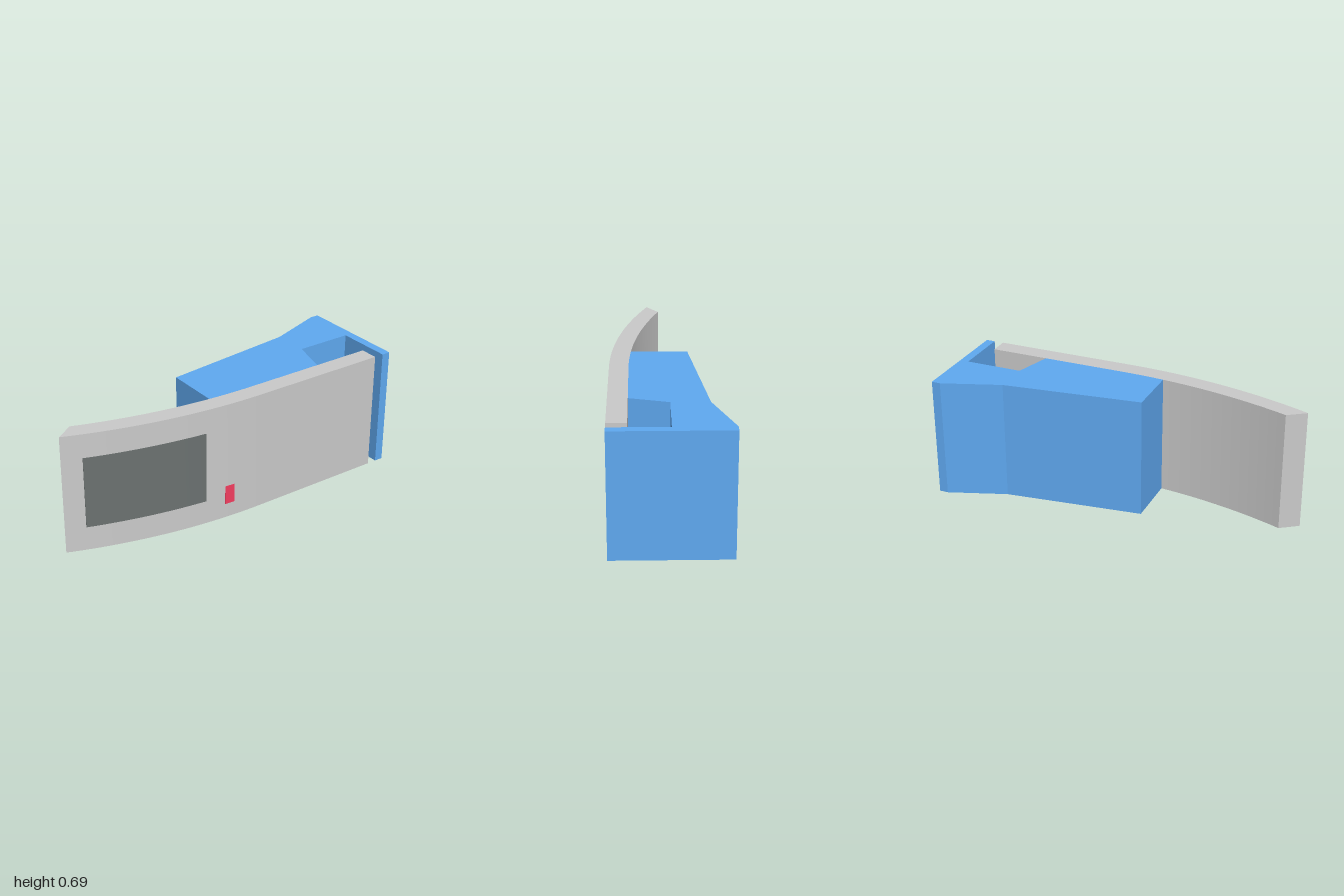
import * as THREE from 'three';
import { toCreasedNormals } from 'three/addons/utils/BufferGeometryUtils.js';

const H = 0.685;           // overall height
const R = 3.03, Z0 = -0.1; // bend of the front plate and where it starts
const OUTER = 0.317, INNER = 0.212;

// Points [x, z] along a plate face that is flat at x and bends in beyond Z0
function bend(x, zStart, zEnd, steps) {
  const a0 = Math.asin((zStart - Z0) / R), a1 = Math.asin((zEnd - Z0) / R);
  return Array.from({ length: steps + 1 }, (_, i) => {
    const a = a0 + (a1 - a0) * i / steps;
    return [x - R + R * Math.cos(a), Z0 + R * Math.sin(a)];
  });
}

// Plan outline [x, z] raised from y0 to y1
function prism(name, outline, y0, y1, color) {
  const shape = new THREE.Shape(outline.map(([x, z]) => new THREE.Vector2(x, z)));
  let geo = new THREE.ExtrudeGeometry(shape, { depth: y1 - y0, bevelEnabled: false });
  geo.rotateX(Math.PI / 2).translate(0, y1, 0);
  geo = toCreasedNormals(geo, 0.1);
  const mesh = new THREE.Mesh(geo, new THREE.MeshStandardMaterial({ color }));
  mesh.name = name;
  return mesh;
}

// Thin inlay following the outer face of the plate
function inlay(name, z0, z1, y0, y1, color, steps) {
  const face = bend(OUTER + 0.0015, z0, z1, steps);
  const back = bend(OUTER - 0.004, z0, z1, steps).reverse();
  return prism(name, [...face, ...back], y0, y1, color);
}

export function createModel() {
  const group = new THREE.Group();
  group.name = 'curvedPanelUnit';

  // Body with a back flange and a notch behind the plate
  const body = [
    [-0.317, -1], [0.317, -1], [0.317, -0.95], [0, -0.95], [0, -0.625],
    [INNER, -0.565], ...bend(INNER, Z0, 0.155, 4),
    [-0.11, 0.155], [-0.203, -0.625], [-0.317, -0.95],
  ];
  group.add(prism('body', body, 0, H, 0x60aaf2));

  // Plate: flat at the back, curving inward to a slanted front end
  const plate = [
    [OUTER, -0.895], ...bend(OUTER, Z0, 1, 32),
    ...bend(INNER, Z0, 0.9, 32).reverse(), [INNER, -0.895],
  ];
  group.add(prism('curvedPlate', plate, 0, H, 0xcccccc));

  // Display window and small indicator
  group.add(inlay('displayWindow', 0.243, 0.895, 0.138, 0.549, 0x6c7271, 20));
  group.add(inlay('indicator', 0.068, 0.126, 0.084, 0.194, 0xf53d60, 3));

  return group;
}
